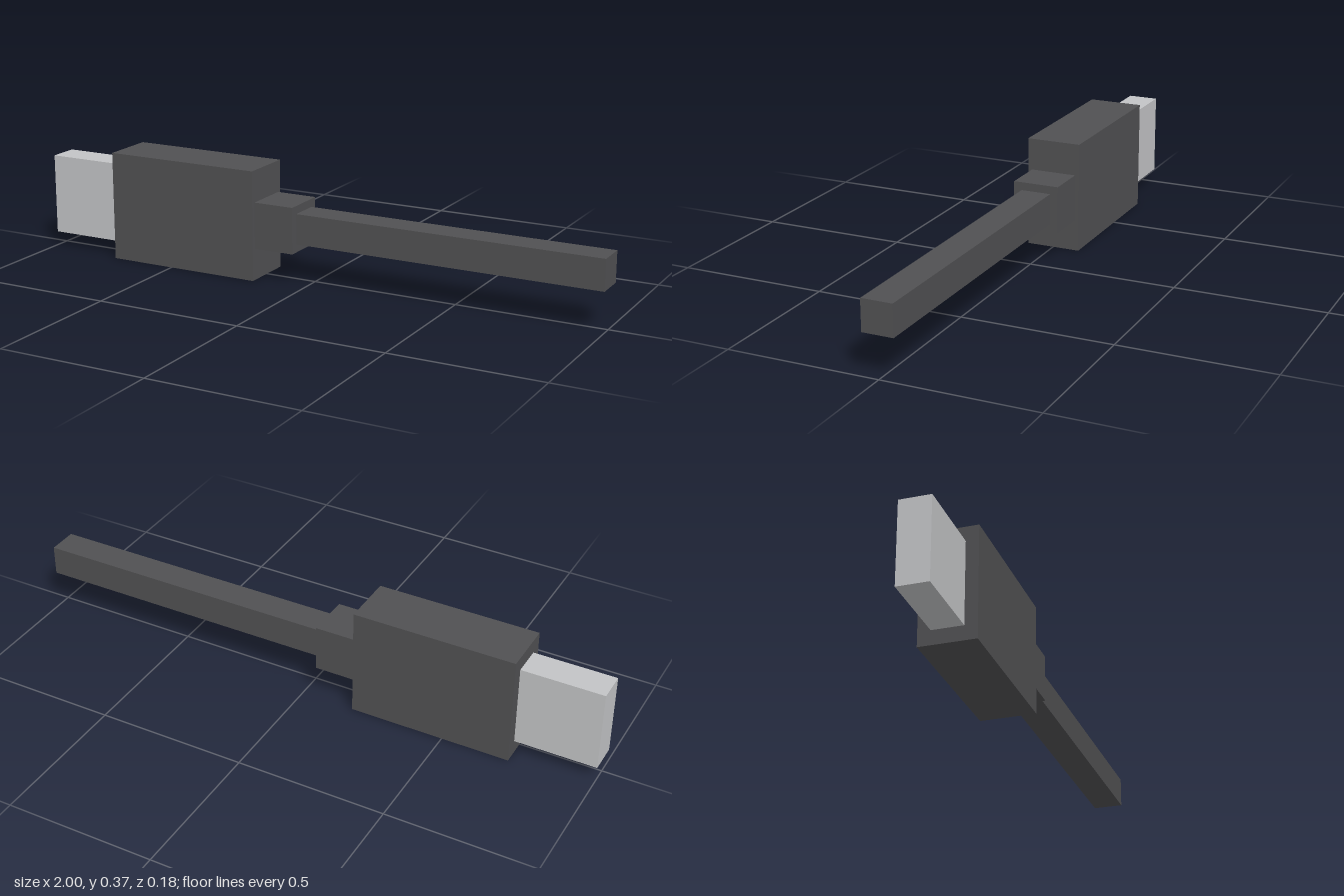
import * as THREE from 'three';

export function createModel() {
  const group = new THREE.Group();
  const darkPlastic = new THREE.MeshStandardMaterial({ color: 0x505052 });
  darkPlastic.name = 'dark plastic';
  const paleMetal = new THREE.MeshStandardMaterial({ color: 0xc2c3c5 });
  paleMetal.name = 'pale metal';

  const axisY = 0.185; // all parts share one centre line along x

  // Box spanning x0..x1, centred on the plug's axis
  function addBlock(name, x0, x1, height, depth, material) {
    const mesh = new THREE.Mesh(new THREE.BoxGeometry(x1 - x0, height, depth), material);
    mesh.name = name;
    mesh.position.set((x0 + x1) / 2, axisY, 0);
    group.add(mesh);
  }

  addBlock('plugTip', -1, -0.727, 0.274, 0.102, paleMetal);
  addBlock('plugHousing', -0.727, -0.182, 0.37, 0.184, darkPlastic);
  addBlock('strainRelief', -0.182, -0.042, 0.156, 0.156, darkPlastic);
  addBlock('cable', -0.042, 1, 0.102, 0.102, darkPlastic);

  return group;
}
